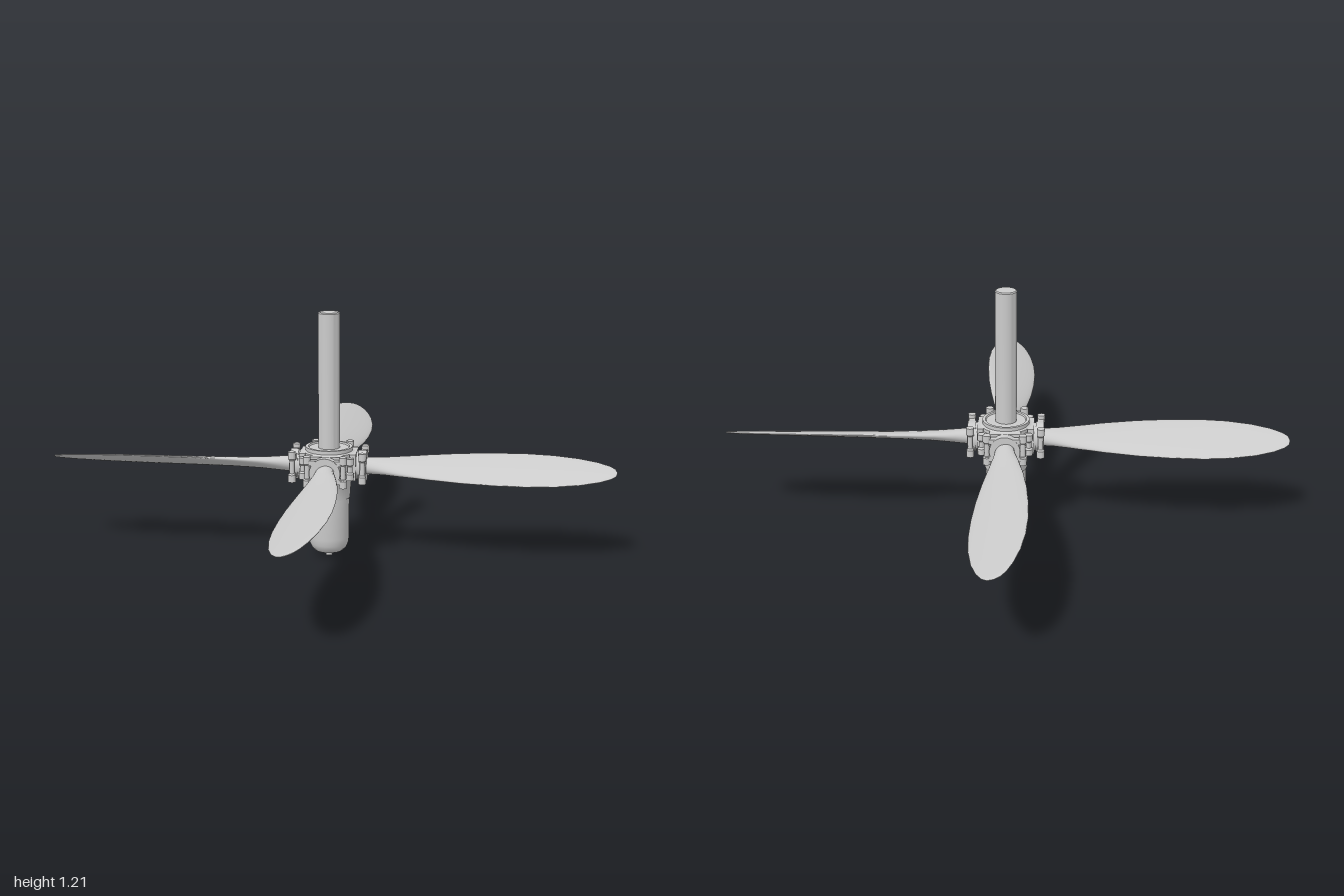
import * as THREE from 'three';
import { toCreasedNormals } from 'three/addons/utils/BufferGeometryUtils.js';

const BLADE_Y = 0.46;
const PITCH = 0.37;
const material = new THREE.MeshStandardMaterial({ color: 0xcccccc });

function add(parent, name, geometry, x = 0, y = 0, z = 0) {
  const mesh = new THREE.Mesh(geometry, material);
  mesh.name = name;
  mesh.position.set(x, y, z);
  parent.add(mesh);
  return mesh;
}

// Turned part from [radius, height] pairs, listed from bottom to top
function turned(profile, segments = 40) {
  const points = profile.map(([r, y]) => new THREE.Vector2(r, y));
  return toCreasedNormals(new THREE.LatheGeometry(points, segments), 0.6);
}

// Pitched blade along +x: elliptical sections lofted from round shank to tip
function bladeGeometry() {
  // radius from hub, chord, thickness
  const stations = [
    [0.1, 0.085, 0.08], [0.17, 0.09, 0.08], [0.24, 0.11, 0.068], [0.34, 0.152, 0.052],
    [0.48, 0.202, 0.04], [0.64, 0.244, 0.033], [0.8, 0.268, 0.028], [0.95, 0.274, 0.024],
    [1.08, 0.258, 0.02], [1.2, 0.218, 0.017], [1.29, 0.163, 0.014], [1.345, 0.107, 0.011],
    [1.37, 0.06, 0.009], [1.378, 0.002, 0.002],
  ];
  const sides = 28;
  const positions = [];
  const index = [];
  stations.forEach(([r, chord, thick], i) => {
    for (let j = 0; j < sides; j++) {
      const a = (j / sides) * Math.PI * 2;
      const c = Math.cos(a) * chord / 2;
      const t = Math.sin(a) * thick / 2;
      positions.push(r, t * Math.cos(PITCH) - c * Math.sin(PITCH), c * Math.cos(PITCH) + t * Math.sin(PITCH));
      if (i === 0) continue;
      const k = (j + 1) % sides;
      const p = (i - 1) * sides, q = i * sides;
      index.push(p + j, p + k, q + j, p + k, q + k, q + j);
    }
  });
  const g = new THREE.BufferGeometry();
  g.setAttribute('position', new THREE.Float32BufferAttribute(positions, 3));
  // Wind faces outward
  for (let i = 0; i < index.length; i += 3) {
    [index[i + 1], index[i + 2]] = [index[i + 2], index[i + 1]];
  }
  g.setIndex(index);
  if (signedVolume(positions, index) < 0) {
    for (let i = 0; i < index.length; i += 3) {
      [index[i + 1], index[i + 2]] = [index[i + 2], index[i + 1]];
    }
  }
  g.computeVertexNormals();
  return g;
}

function signedVolume(p, index) {
  const v = (i) => new THREE.Vector3(p[i * 3] - 0.7, p[i * 3 + 1], p[i * 3 + 2]);
  let sum = 0;
  for (let i = 0; i < index.length; i += 3) {
    sum += v(index[i]).dot(v(index[i + 1]).cross(v(index[i + 2])));
  }
  return sum;
}

// Spool-shaped bolt: wide heads with a slimmer shank
function boltGeometry(radius, height, head) {
  const h = height / 2;
  return turned([
    [0, -h], [radius, -h], [radius, -h + head], [radius * 0.65, -h + head + 0.008],
    [radius * 0.65, h - head - 0.008], [radius, h - head], [radius, h], [0, h],
  ], 16);
}

export function createModel() {
  const model = new THREE.Group();
  model.name = 'propeller';

  // Central stack: shaft, hub, dome
  add(model, 'shaft', turned([[0, 0.3], [0.052, 0.3], [0.052, 1.2], [0.047, 1.205], [0, 1.205]]));
  add(model, 'hubCore', turned([
    [0, 0.3], [0.103, 0.3], [0.108, 0.375], [0.122, 0.4], [0.125, 0.53],
    [0.114, 0.535], [0.114, 0.553], [0.1, 0.553], [0.096, 0.546], [0, 0.546],
  ], 48));
  add(model, 'dome', turned([
    [0, 0.02], [0.045, 0.021], [0.068, 0.029], [0.085, 0.045], [0.095, 0.068],
    [0.099, 0.1], [0.099, 0.31], [0, 0.31],
  ], 48));
  add(model, 'domeNub', turned([[0, 0.012], [0.008, 0.012], [0.008, 0], [0.016, 0], [0.016, 0.03]], 20));

  const blade = bladeGeometry();
  const barrel = new THREE.CylinderGeometry(0.068, 0.075, 0.1, 28).rotateZ(-Math.PI / 2);
  const collar = new THREE.CylinderGeometry(0.074, 0.074, 0.04, 28).rotateZ(-Math.PI / 2);
  const clampBolt = boltGeometry(0.019, 0.15, 0.035);
  const hubBolt = boltGeometry(0.019, 0.105, 0.03);

  for (let i = 0; i < 4; i++) {
    // Blade arm on each diagonal
    const arm = new THREE.Group();
    arm.name = 'bladeArm' + (i + 1);
    arm.position.y = BLADE_Y;
    arm.rotation.y = -Math.PI / 4 + (i * Math.PI) / 2;
    model.add(arm);
    add(arm, 'blade', blade);
    add(arm, 'bladeSocket', barrel, 0.1);
    add(arm, 'clampCollar', collar, 0.165);
    add(arm, 'hubFace', new THREE.BoxGeometry(0.03, 0.13, 0.15), 0.122, 0.005);
    for (const side of [-1, 1]) {
      add(arm, 'clampBolt', clampBolt, 0.17, 0.005, side * 0.086);
      for (const level of [-1, 1]) {
        add(arm, 'clampLug', new THREE.BoxGeometry(0.032, 0.024, 0.055), 0.168, 0.005 + level * 0.045, side * 0.065);
      }
    }

    // Bolt between neighbouring arms
    const a = (i * Math.PI) / 2;
    const joint = new THREE.Group();
    joint.name = 'hubJoint' + (i + 1);
    joint.position.y = BLADE_Y + 0.008;
    joint.rotation.y = a;
    model.add(joint);
    add(joint, 'hubBolt', hubBolt, 0.16);
    for (const level of [-1, 1]) {
      add(joint, 'hubLug', new THREE.BoxGeometry(0.06, 0.022, 0.05), 0.13, level * 0.034);
    }
  }
  return model;
}
